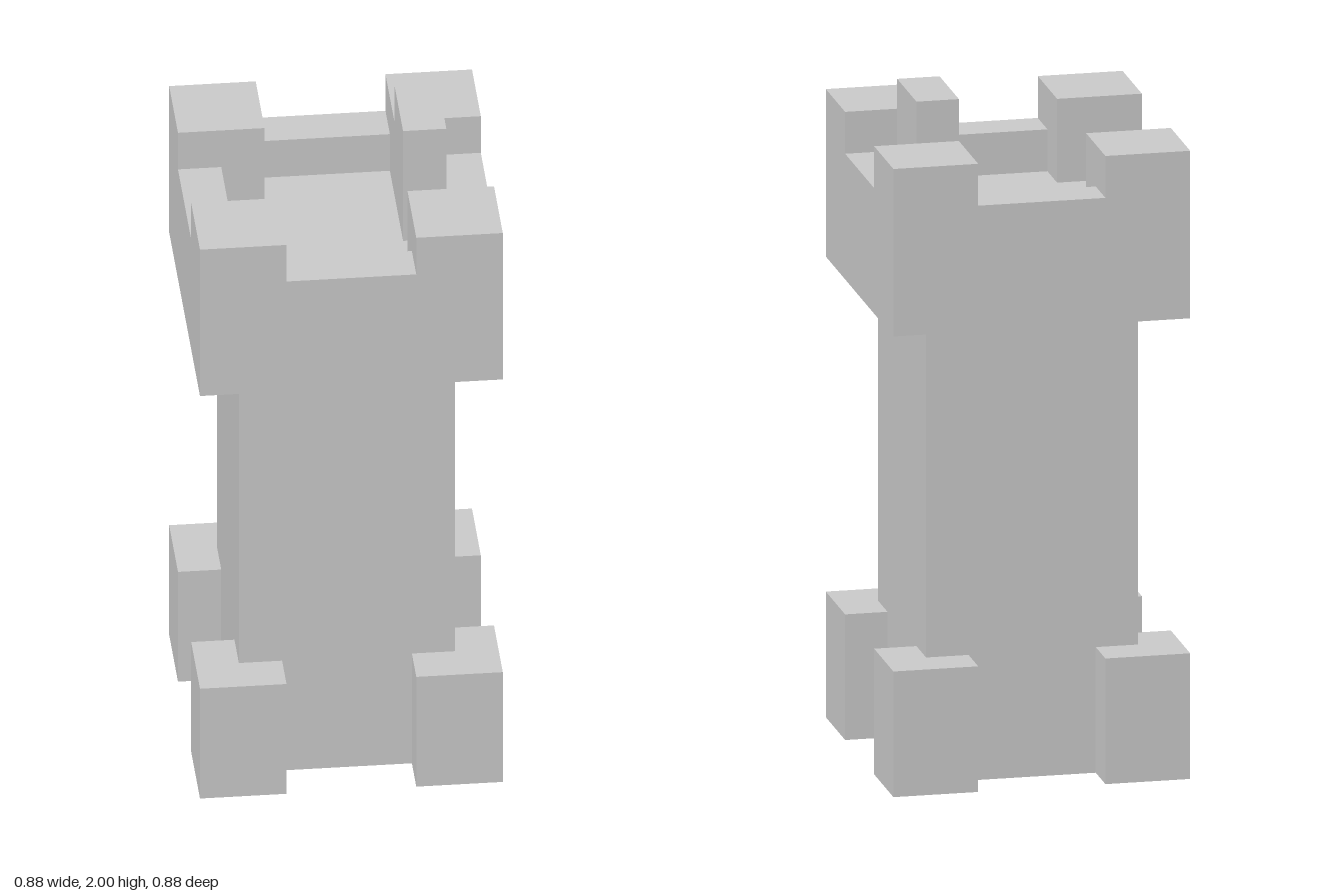
import * as THREE from 'three';

const U = 1 / 16; // every size is a whole number of these units

export function createModel() {
  const tower = new THREE.Group();
  tower.name = 'tower';
  const stone = new THREE.MeshStandardMaterial({ color: 0xcccccc, flatShading: true });

  const add = (name, geometry, parent = tower) => {
    const mesh = new THREE.Mesh(geometry, stone);
    mesh.name = name;
    parent.add(mesh);
    return mesh;
  };

  // Box given by its lowest and highest corner, in units
  const block = (name, [x0, y0, z0], [x1, y1, z1], parent) => {
    const geometry = new THREE.BoxGeometry((x1 - x0) * U, (y1 - y0) * U, (z1 - z0) * U);
    geometry.translate(((x0 + x1) / 2) * U, ((y0 + y1) / 2) * U, ((z0 + z1) / 2) * U);
    return add(name, geometry, parent);
  };

  // Shaft and the slab that carries the battlements
  block('shaft', [-5, 0, -5], [5, 22, 5]);
  block('platform', [-7, 22, -7], [7, 26, 7]);

  // L-shaped buttress wrapping a corner of the shaft
  const corner = [[3, 5], [5, 5], [5, 3], [7, 3], [7, 7], [3, 7]];
  const outline = new THREE.Shape(corner.map(([x, y]) => new THREE.Vector2(x * U, y * U)));
  const buttress = new THREE.ExtrudeGeometry(outline, { depth: 6 * U, bevelEnabled: false });
  buttress.rotateX(-Math.PI / 2);

  // Four equal quarters: buttress, corner merlon and low parapet
  for (let i = 0; i < 4; i++) {
    const quarter = new THREE.Group();
    quarter.name = `quarter${i + 1}`;
    quarter.rotation.y = (i * Math.PI) / 2;
    add('buttress', buttress, quarter);
    block('merlon', [3, 26, 3], [7, 30, 7], quarter);
    block('parapet', [-3, 26, 5], [3, 28, 7], quarter);
    tower.add(quarter);
  }

  // Tall block standing inside the battlements
  block('lookoutBlock', [3, 26, -3], [5, 32, 1]);

  return tower;
}
